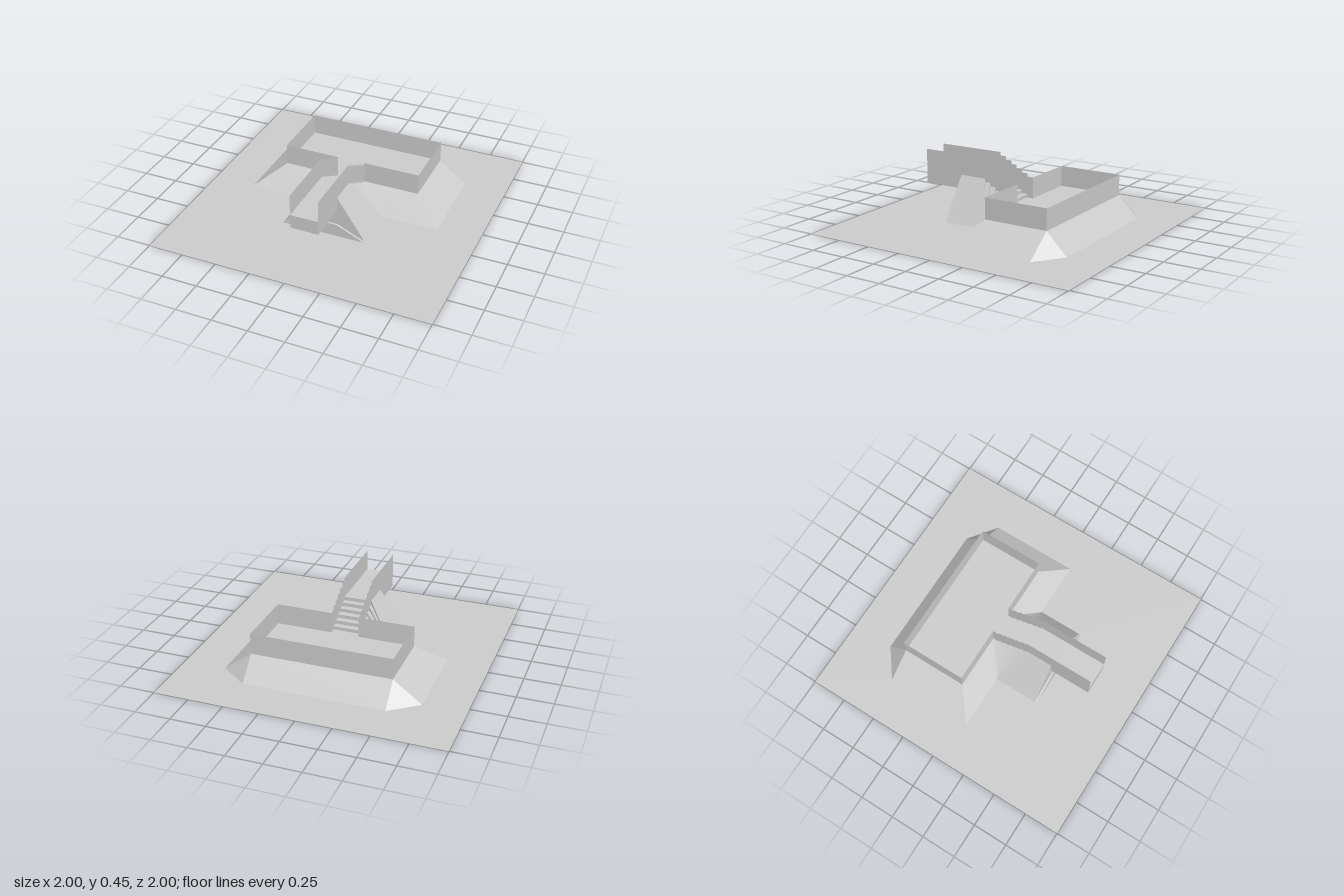
import * as THREE from 'three';

const STEPS = 6, RISE = 0.025, RUN = 0.045, FLOOR = 0.15, DECK = 0.3, RAIL = 0.15;
const FRONT = -0.08, BACK = -0.55, STAIR = -0.035, FOOT = 0.075, ABUT = 0.39, END = 0.69;

export function createModel() {
  const group = new THREE.Group();
  const concrete = new THREE.MeshStandardMaterial({ color: 0xcccccc, side: THREE.DoubleSide });
  concrete.name = 'pale grey';

  // Convex polygons, counter-clockwise from outside, each split into a fan
  function faces(name, polygons) {
    const pos = [];
    for (const p of polygons)
      for (let i = 1; i < p.length - 1; i++) pos.push(...p[0], ...p[i], ...p[i + 1]);
    const g = new THREE.BufferGeometry();
    g.setAttribute('position', new THREE.Float32BufferAttribute(pos, 3));
    g.computeVertexNormals();
    const mesh = new THREE.Mesh(g, concrete);
    mesh.name = name;
    group.add(mesh);
  }
  const flip = (p) => p.map(([x, y, z]) => [-x, y, z]).reverse();
  const both = (polys) => [...polys, ...polys.map(flip)];

  // Ground with an opening under the mound and the abutment
  const half = [[0.3, ABUT], [0.3, FOOT], [0.7, FOOT], [0.7, BACK], [0.5, -0.7]];
  const outline = [...half, ...half.map(([x, z]) => [-x, z]).reverse()];
  const toShape = (pts) => pts.map(([x, z]) => new THREE.Vector2(x, -z));
  const shape = new THREE.Shape(toShape([[-1, 1], [1, 1], [1, -1], [-1, -1]]));
  shape.holes.push(new THREE.Path(toShape(outline)));
  const ground = new THREE.Mesh(new THREE.ShapeGeometry(shape).rotateX(-Math.PI / 2), concrete);
  ground.name = 'ground';
  group.add(ground);

  // Sloping sides of the mound
  const a = [0.5, FLOOR, FRONT], b = [0.5, FLOOR, BACK];
  faces('moundSlopes', [
    ...both([
      [a, [0.7, 0, FOOT], [0.7, 0, BACK], b],
      [b, [0.7, 0, BACK], [0.5, 0, -0.7]],
      [[0.1, FLOOR, FRONT], [0.3, 0, FOOT], [0.7, 0, FOOT], a],
    ]),
    [b, [0.5, 0, -0.7], [-0.5, 0, -0.7], [-0.5, FLOOR, BACK]],
  ]);
  faces('platformFloor', [[[-0.5, FLOOR, FRONT], a, b, [-0.5, FLOOR, BACK]]]);

  // Thin parapet around the platform, open at the stair
  const upright = (x0, z0, x1, z1, y0, y1) =>
    [[x0, y0, z0], [x1, y0, z1], [x1, y1, z1], [x0, y1, z0]];
  faces('platformParapet', [
    ...both([
      upright(0.5, FRONT, 0.5, BACK, FLOOR, DECK),
      upright(0.1, FRONT, 0.5, FRONT, FLOOR, DECK),
    ]),
    upright(0.5, BACK, -0.5, BACK, FLOOR, DECK),
  ]);

  // Stair, its stepped railing and the fanned cheeks below it
  const stair = [], rails = [], cheeks = [], corner = [0.3, 0, FOOT];
  const tread = (z0, z1, y) => [[-0.1, y, z1], [0.1, y, z1], [0.1, y, z0], [-0.1, y, z0]];
  for (let i = 0; i <= STEPS; i++) {
    const y = FLOOR + i * RISE;
    const z0 = i === 0 ? FRONT : STAIR + (i - 1) * RUN;
    const z1 = i === STEPS ? ABUT : STAIR + i * RUN;
    if (i > 0) {
      stair.push(upright(0.1, z0, -0.1, z0, y - RISE, y));
      cheeks.push([[0.1, y - RISE, z0], [0.1, y, z0], corner]);
    }
    stair.push(tread(z0, z1, y));
    rails.push(upright(0.1, z1, 0.1, z0, y, y + RAIL));
    if (i < STEPS) cheeks.push([[0.1, y, z0], [0.1, y, z1], corner]);
    else cheeks.push([[0.1, y, z0], [0.1, y, z1], [0.3, 0, ABUT], corner]);
  }
  faces('stair', stair);
  faces('railing', both(rails));
  faces('abutmentSides', both(cheeks));

  // Front of the abutment with a low raised base
  const wall = (h, z) => [[-0.3, 0, z], [0.3, 0, z], [0.1, h, z], [-0.1, h, z]];
  faces('abutmentFront', [wall(DECK, ABUT)]);
  const base = wall(0.09, 0.405), root = wall(0.09, ABUT);
  faces('abutmentBase', [base,
    ...[1, 2, 3].map((i) => [base[i], root[i], root[(i + 1) % 4], base[(i + 1) % 4]])]);

  // Overhanging bridge with side panels rising into railings
  faces('bridge', [
    tread(ABUT, END, DECK),
    tread(ABUT, END, 0.2).reverse(),
    upright(-0.1, END, 0.1, END, 0.2, DECK),
    ...both([upright(0.1, END, 0.1, ABUT, 0.2, DECK + RAIL)]),
  ]);

  return group;
}
